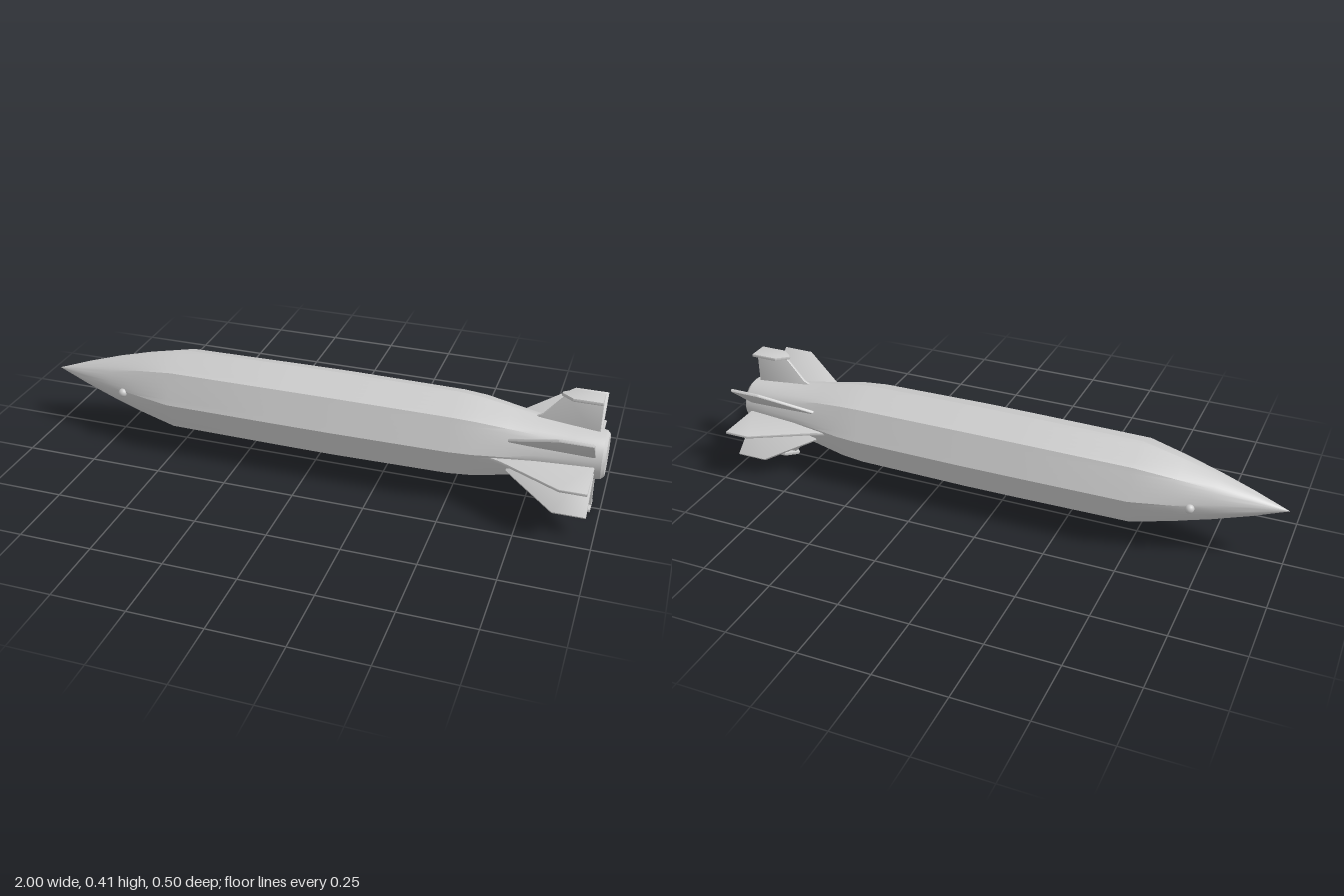
import * as THREE from 'three';
import { mergeVertices, toCreasedNormals } from 'three/addons/utils/BufferGeometryUtils.js';

const AXIS_Y = 0.21;
const grey = new THREE.MeshStandardMaterial({ color: 0xcccccc });

function addMesh(parent, name, geometry) {
  const mesh = new THREE.Mesh(geometry, grey);
  mesh.name = name;
  parent.add(mesh);
  return mesh;
}

// Loft along x; roundness blends each ring from an octagon (0) to a circle (1)
function loftBody(rings, sides = 48) {
  const positions = [], index = [];
  for (const [x, radius, roundness] of rings) {
    for (let i = 0; i < sides; i++) {
      const a = (i / sides) * Math.PI * 2;
      const octagon = Math.cos(Math.PI / 8) / Math.cos((a % (Math.PI / 4)) - Math.PI / 8);
      const r = radius * THREE.MathUtils.lerp(octagon, 1, roundness);
      positions.push(x, r * Math.cos(a), r * Math.sin(a));
    }
  }
  for (let k = 0; k < rings.length - 1; k++) {
    for (let i = 0; i < sides; i++) {
      const j = (i + 1) % sides;
      const a = k * sides + i, b = k * sides + j;
      const c = a + sides, d = b + sides;
      if (rings[k][1] > 0) index.push(a, b, c);
      if (rings[k + 1][1] > 0) index.push(b, d, c);
    }
  }
  const g = new THREE.BufferGeometry();
  g.setAttribute('position', new THREE.Float32BufferAttribute(positions, 3));
  g.setIndex(index);
  // Wind the faces outward
  const idx = g.index.array;
  for (let i = 0; i < idx.length; i += 3) {
    const v = [0, 1, 2].map((n) => new THREE.Vector3().fromBufferAttribute(g.attributes.position, idx[i + n]));
    const normal = v[1].clone().sub(v[0]).cross(v[2].clone().sub(v[0]));
    const mid = v[0].clone().add(v[1]).add(v[2]).divideScalar(3);
    const out = new THREE.Vector3(mid.x > 0.97 ? 0.05 : 0, mid.y, mid.z);
    if (normal.dot(out) < 0) [idx[i + 1], idx[i + 2]] = [idx[i + 2], idx[i + 1]];
  }
  return toCreasedNormals(mergeVertices(g), 0.5);
}

// Thin plate with softened edges, outline in x/y, centred on z = 0
function plate(points, thickness) {
  const bevel = thickness * 0.35;
  const g = new THREE.ExtrudeGeometry(new THREE.Shape(points.map((p) => new THREE.Vector2(...p))), {
    depth: thickness - 2 * bevel, bevelEnabled: true, bevelSize: bevel,
    bevelOffset: -bevel, bevelThickness: bevel, bevelSegments: 2,
  });
  g.translate(0, 0, -thickness / 2 + bevel);
  return toCreasedNormals(g, 0.6);
}

export function createModel() {
  const model = new THREE.Group();

  // Faceted hull: pointed round nose, octagonal middle, round tail
  const hull = addMesh(model, 'hull', loftBody([
    [-1, 0, 1], [-0.98, 0.007, 1], [-0.88, 0.042, 1], [-0.76, 0.08, 0.75],
    [-0.64, 0.114, 0.4], [-0.5, 0.148, 0], [-0.1, 0.152, 0], [0.1, 0.153, 0],
    [0.5, 0.149, 0], [0.58, 0.142, 0.05], [0.68, 0.123, 0.3], [0.78, 0.104, 0.6],
    [0.9, 0.091, 0.9], [0.97, 0.084, 1], [0.99, 0.081, 1], [1, 0.071, 1], [1, 0, 1],
  ]));
  hull.position.y = AXIS_Y;

  // Small lugs on the nose
  for (const side of [-1, 1]) {
    const lug = addMesh(model, 'noseLug', new THREE.SphereGeometry(0.016, 16, 12));
    lug.position.set(-0.695, 0.203, side * 0.098);
  }

  // Fin outlines: x along the hull, y outward from the fin's origin
  const sideFin = plate([[0.62, 0.06], [0.62, 0.12], [0.68, 0.143], [0.88, 0.251], [0.97, 0.251], [0.97, 0.06]], 0.011);
  const diagonalFin = plate([[0.69, 0.03], [0.69, 0.085], [0.86, 0.198], [0.97, 0.198], [0.97, 0.03]], 0.012);
  const uprightFin = plate([[0.75, 0.05], [0.75, 0.103], [0.78, 0.118], [0.85, 0.2], [0.97, 0.2], [0.97, 0.05]], 0.012);
  const endPlate = plate([
    [0.835, -0.005], [0.875, -0.036], [0.97, -0.036], [0.97, 0.036], [0.875, 0.036], [0.835, 0.005],
  ], 0.013);

  for (const side of [-1, 1]) {
    // Long swept horizontal fin
    const horizontal = addMesh(model, 'sideFin', sideFin);
    horizontal.position.y = 0.198;
    horizontal.rotation.x = side * Math.PI / 2;

    // Upright fin with its end plate
    const upright = new THREE.Group();
    upright.name = side > 0 ? 'topFin' : 'bottomFin';
    addMesh(upright, 'finBlade', uprightFin);
    const cap = addMesh(upright, 'finEndPlate', endPlate);
    cap.rotation.x = Math.PI / 2;
    cap.position.y = 0.2;
    upright.position.y = AXIS_Y - 0.002;
    if (side < 0) upright.rotation.x = Math.PI;
    model.add(upright);

    // Diagonal fins, upper and lower
    for (const up of [-1, 1]) {
      const diagonal = addMesh(model, 'diagonalFin', diagonalFin);
      diagonal.position.set(0, 0.207 + up * 0.002, side * 0.04);
      diagonal.rotation.x = Math.atan2(side * 0.148, up * 0.131);
    }
  }
  return model;
}
